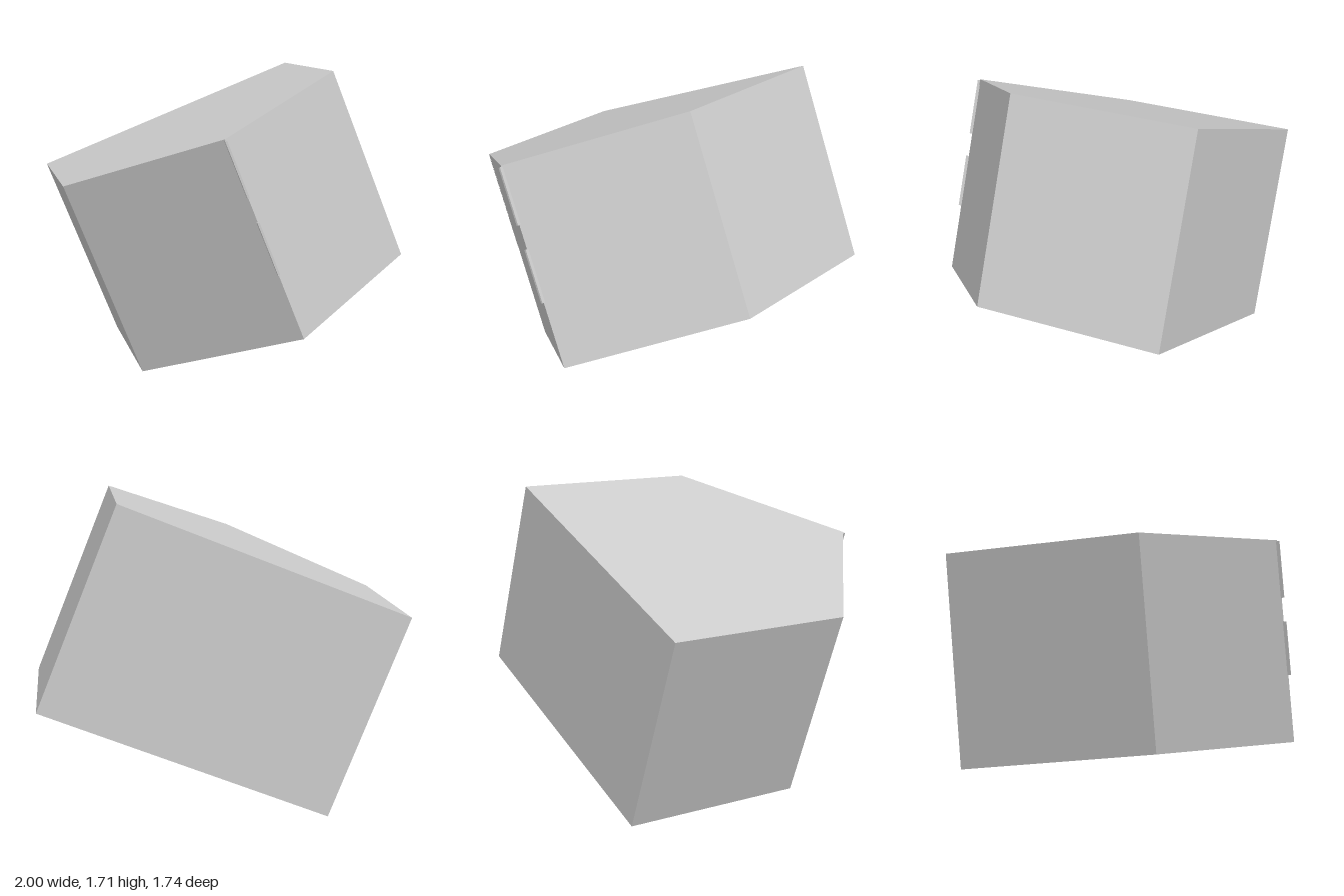
import * as THREE from 'three';

const HALF_W = 0.84, HALF_H = 0.587, BACK = -0.87, EAVE = 0.205, RIDGE = 0.855;
const slopeZ = (u) => RIDGE - (RIDGE - EAVE) * Math.abs(u) / HALF_W;

export function createModel() {
  const material = new THREE.MeshStandardMaterial({ color: 0xcccccc, flatShading: true, side: THREE.DoubleSide });
  const model = new THREE.Group();
  model.name = 'tiltedBlock';

  const add = (name, geometry) => {
    const mesh = new THREE.Mesh(geometry, material);
    mesh.name = name;
    model.add(mesh);
    return mesh;
  };
  const outline = (points) => new THREE.Shape(points.map(([x, y]) => new THREE.Vector2(x, y)));

  // Five-sided block with a pointed front
  const section = outline([[-HALF_W, BACK], [HALF_W, BACK], [HALF_W, EAVE], [0, RIDGE], [-HALF_W, EAVE]]);
  const body = new THREE.ExtrudeGeometry(section, { depth: HALF_H * 2, bevelEnabled: false });
  body.translate(0, 0, -HALF_H).rotateX(Math.PI / 2);
  add('body', body);

  // Broken slivers standing slightly proud along the front edge
  for (const [v0, v1] of [[0.25, 0.58], [-0.2, 0.11]]) {
    add('ridgeSliver', new THREE.BoxGeometry(0.012, v1 - v0, 0.02)).position.set(0, (v0 + v1) / 2, RIDGE + 0.005);
  }

  // Thin flakes lying on the two sloping faces
  const flakes = [
    [[-0.826, 0.577], [-0.807, 0], [-0.78, 0], [-0.737, 0.07], [-0.79, 0.175], [-0.785, 0.56], [-0.415, 0.582]],
    [[0.8, 0.12], [0.76, 0.05], [0.783, 0.018]],
    [[0.43, 0.585], [0.52, 0.585], [0.47, 0.565]],
    [[0.01, 0.585], [0.11, 0.585], [0.09, 0.565], [0.01, 0.55]],
  ];
  for (const points of flakes) {
    const geometry = new THREE.ShapeGeometry(outline(points));
    const p = geometry.attributes.position;
    for (let i = 0; i < p.count; i++) p.setZ(i, slopeZ(p.getX(i)) + 0.004);
    geometry.computeVertexNormals();
    add('surfaceFlake', geometry);
  }

  // Tip the block onto one corner edge
  model.rotation.z = 0.38;
  model.position.y = 0.86;
  const root = new THREE.Group();
  root.add(model);
  return root;
}
